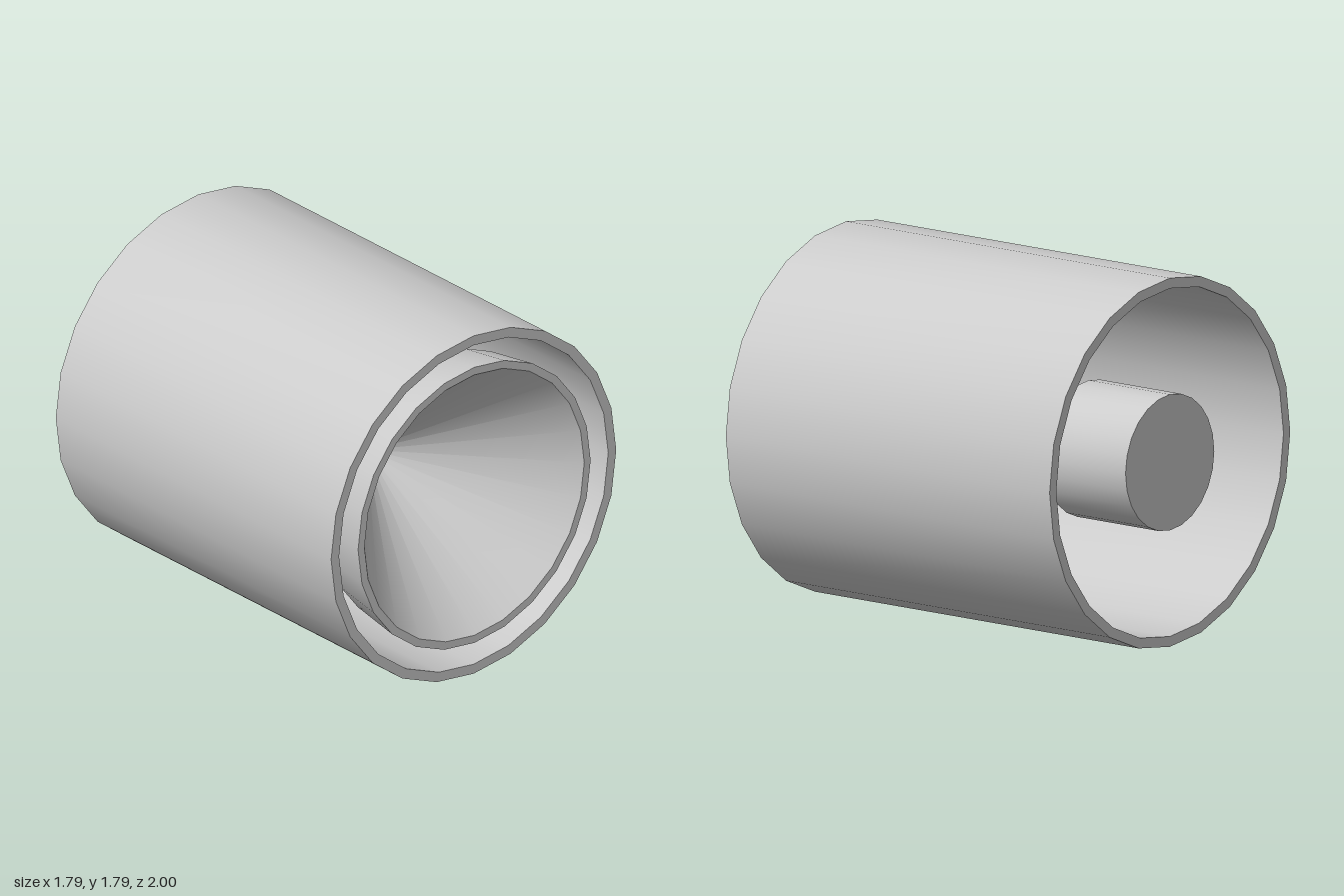
import * as THREE from 'three';
import { toCreasedNormals } from 'three/addons/utils/BufferGeometryUtils.js';

const SIDES = 24;
const CENTRE_Y = 0.895;
const material = new THREE.MeshStandardMaterial({ color: 0xcccccc });

// Turns a profile of [radius, z] points around the z axis
function turned(name, profile) {
  const points = profile.map(([r, z]) => new THREE.Vector2(r, z));
  const geometry = new THREE.LatheGeometry(points, SIDES);
  geometry.rotateX(Math.PI / 2);
  const mesh = new THREE.Mesh(toCreasedNormals(geometry, 0.6), material);
  mesh.name = name;
  mesh.position.y = CENTRE_Y;
  return mesh;
}

export function createModel() {
  const group = new THREE.Group();
  group.name = 'tubeSpeaker';

  // Open housing tube with a thin wall
  group.add(turned('housingTube', [
    [0.895, -1], [0.895, 0.995], [0.845, 0.995], [0.845, -1], [0.895, -1],
  ]));

  // Flared driver: narrow neck, bell outside, conical hollow in front
  group.add(turned('driverCone', [
    [0, -0.52], [0.17, -0.52], [0.17, -0.19], [0.3, 0], [0.6, 0.42],
    [0.69, 0.72], [0.73, 1], [0.69, 1], [0, 0.22],
  ]));

  // Solid round magnet at the back
  group.add(turned('magnet', [
    [0, -1], [0.33, -1], [0.33, -0.5], [0, -0.5],
  ]));

  return group;
}
